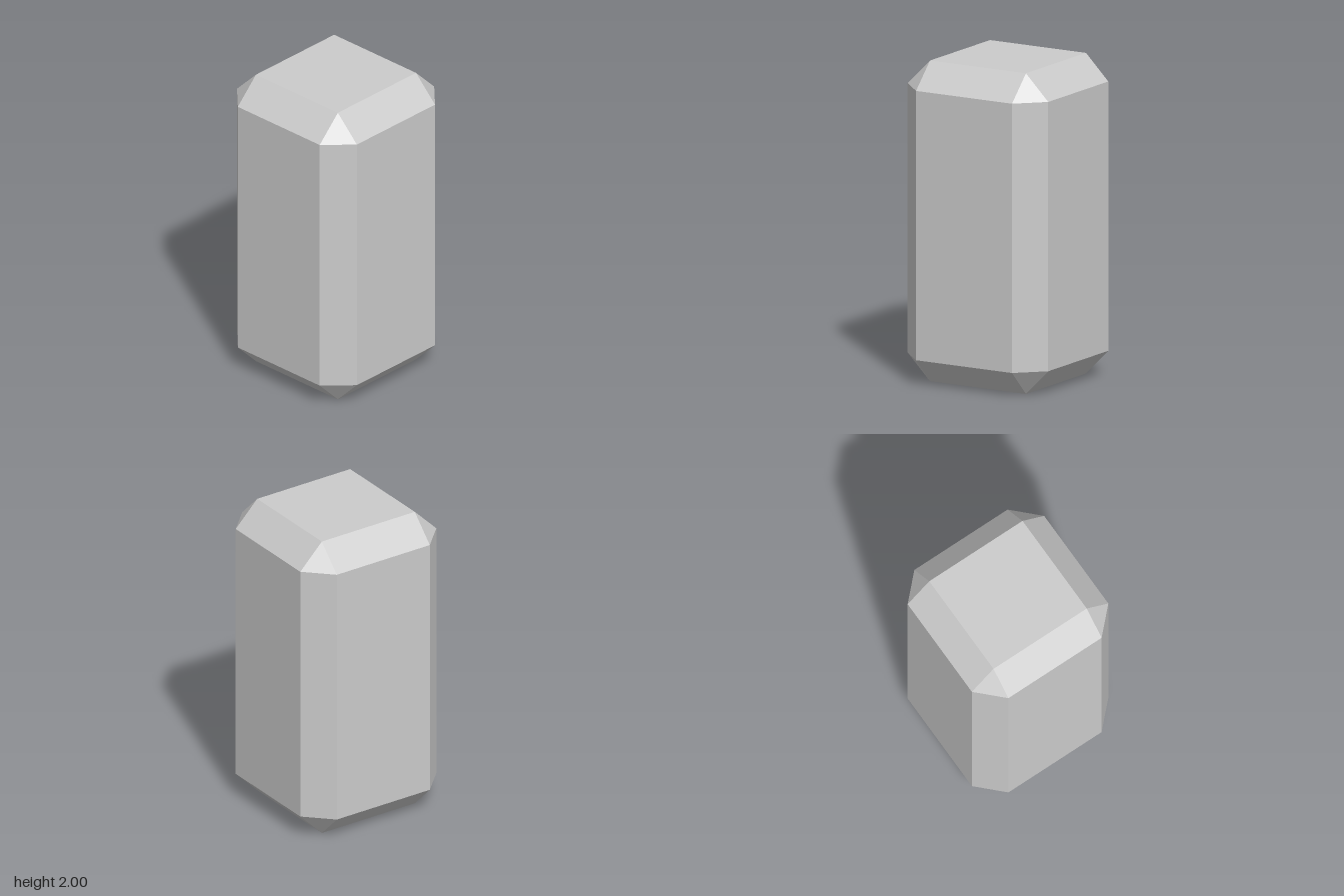
import * as THREE from 'three';
import { ConvexGeometry } from 'three/addons/geometries/ConvexGeometry.js';

const HALF_WIDTH = 0.505;
const HALF_HEIGHT = 1;
const BEVEL = 0.16;

// Box with every edge chamfered and every corner cut to a triangle
function chamferedBox(hx, hy, hz, bevel) {
  const points = [];
  for (const sx of [-1, 1]) for (const sy of [-1, 1]) for (const sz of [-1, 1]) {
    // Each corner becomes three points, one on each adjoining face
    points.push(
      new THREE.Vector3(sx * hx, sy * (hy - bevel), sz * (hz - bevel)),
      new THREE.Vector3(sx * (hx - bevel), sy * hy, sz * (hz - bevel)),
      new THREE.Vector3(sx * (hx - bevel), sy * (hy - bevel), sz * hz)
    );
  }
  return new ConvexGeometry(points);
}

export function createModel() {
  const group = new THREE.Group();
  group.name = 'chamferedBlock';

  const material = new THREE.MeshStandardMaterial({ color: 0xcccccc, flatShading: true });
  const block = new THREE.Mesh(chamferedBox(HALF_WIDTH, HALF_HEIGHT, HALF_WIDTH, BEVEL), material);
  block.name = 'block';
  block.position.y = HALF_HEIGHT;
  group.add(block);

  return group;
}
